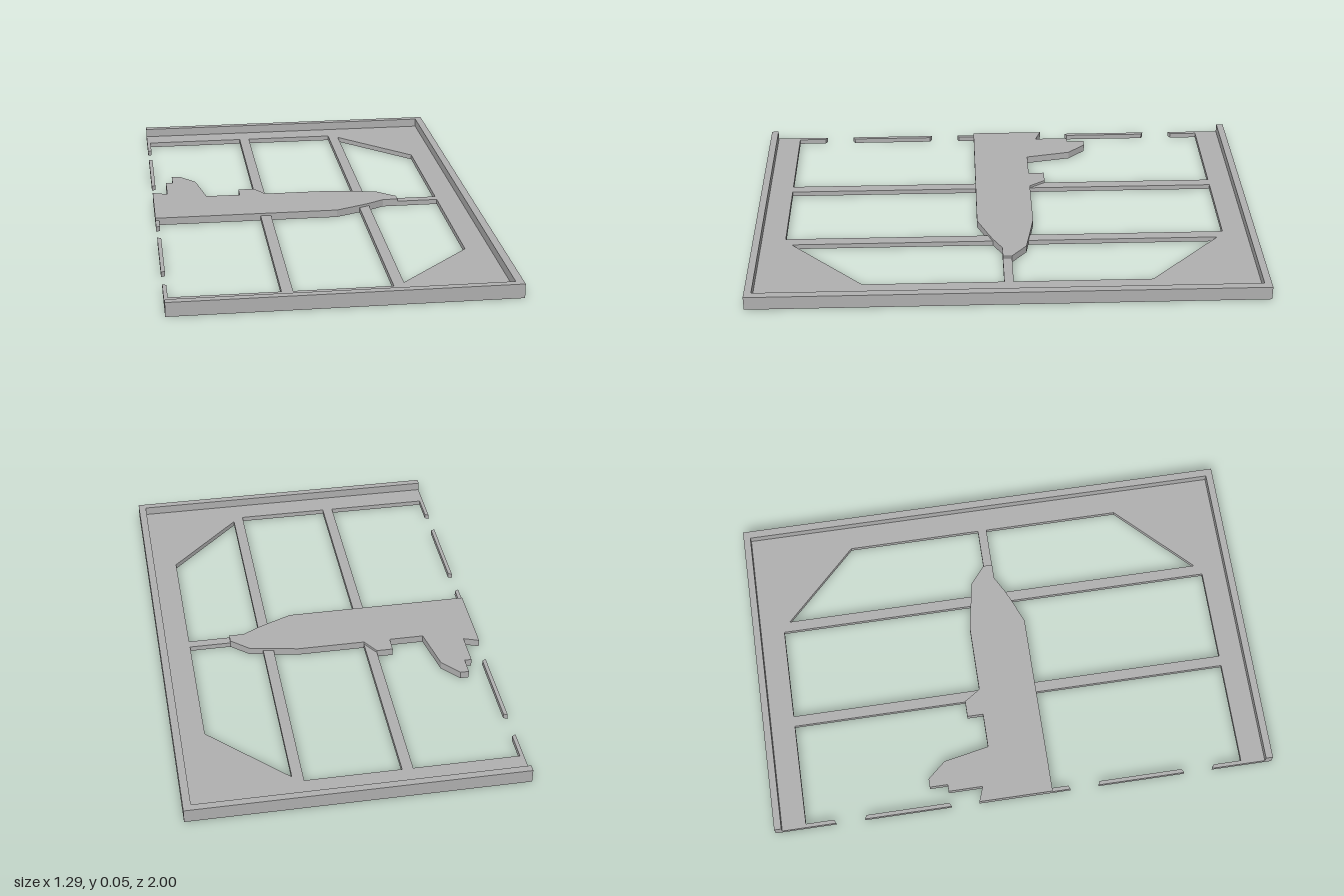
import * as THREE from 'three';

const PLATE = 0.02, PLANE = 0.03, RIM = 0.055;

// Flat plate from [x, z] corners, between heights y0 and y1
function plate(name, points, y0, y1, material) {
  const shape = new THREE.Shape(points.map(([x, z]) => new THREE.Vector2(x, z)));
  const geometry = new THREE.ExtrudeGeometry(shape, { depth: y1 - y0, bevelEnabled: false });
  geometry.rotateX(Math.PI / 2).translate(0, y1, 0);
  const mesh = new THREE.Mesh(geometry, material);
  mesh.name = name;
  return mesh;
}

// Closes a half outline with its mirror image across z = 0
const mirrored = (half) => [...half, ...half.map(([x, z]) => [x, -z]).reverse()];

export function createModel() {
  const grey = new THREE.MeshStandardMaterial({ color: 0xb0b0b0 });
  grey.name = 'grey';
  const model = new THREE.Group();
  model.name = 'framedAircraftPanel';
  const add = (name, points, y0, y1) => model.add(plate(name, points, y0, y1, grey));

  // U-shaped base frame with two chamfered inner corners
  const inner = [[0.52, 0.56], [0.23, 0.85], [0.23, 0.877], [-0.63, 0.877], [-0.63, 0.765], [-0.645, 0.757]];
  add('baseFrame', mirrored([...inner, [-0.645, 1], [0.645, 1]]), 0, PLATE);

  // Raised rim around three sides
  add('rim', mirrored([[0.615, 0.972], [-0.645, 0.972], [-0.645, 1], [0.645, 1]]), PLATE, RIM);

  // Cross bars
  for (const [x0, x1] of [[-0.222, -0.18], [0.188, 0.23]]) {
    add('crossBar', [[x0, -0.877], [x1, -0.877], [x1, 0.877], [x0, 0.877]], 0, PLATE);
  }

  // Broken strips along the open edge
  for (const s of [-1, 1]) {
    add('edgeStrip', [[-0.645, s * 0.295], [-0.63, s * 0.303], [-0.63, s * 0.635], [-0.645, s * 0.643]], 0, PLATE);
  }
  add('edgeTab', [[-0.645, 0.1], [-0.63, 0.1], [-0.63, 0.175], [-0.645, 0.182]], 0, PLATE);

  // Nose support strip
  add('noseStrip', [[0.28, -0.022], [0.52, -0.022], [0.52, 0.014], [0.28, 0.014]], 0, PLATE);

  // Aircraft silhouette in profile: tail fin, canopy block and tapered nose
  add('aircraft', [
    [-0.645, 0.11], [-0.645, -0.185], [-0.585, -0.163], [-0.585, -0.3], [-0.557, -0.3],
    [-0.557, -0.372], [-0.523, -0.372], [-0.46, -0.3], [-0.425, -0.118], [-0.287, -0.118],
    [-0.287, -0.182], [-0.222, -0.182], [-0.18, -0.118], [0.09, -0.118], [0.19, -0.1],
    [0.285, -0.082], [0.355, -0.022], [0.355, 0.014], [0.295, 0.014], [0.23, 0.05], [0.19, 0.068], [0.09, 0.11],
  ], 0, PLANE);

  return model;
}
